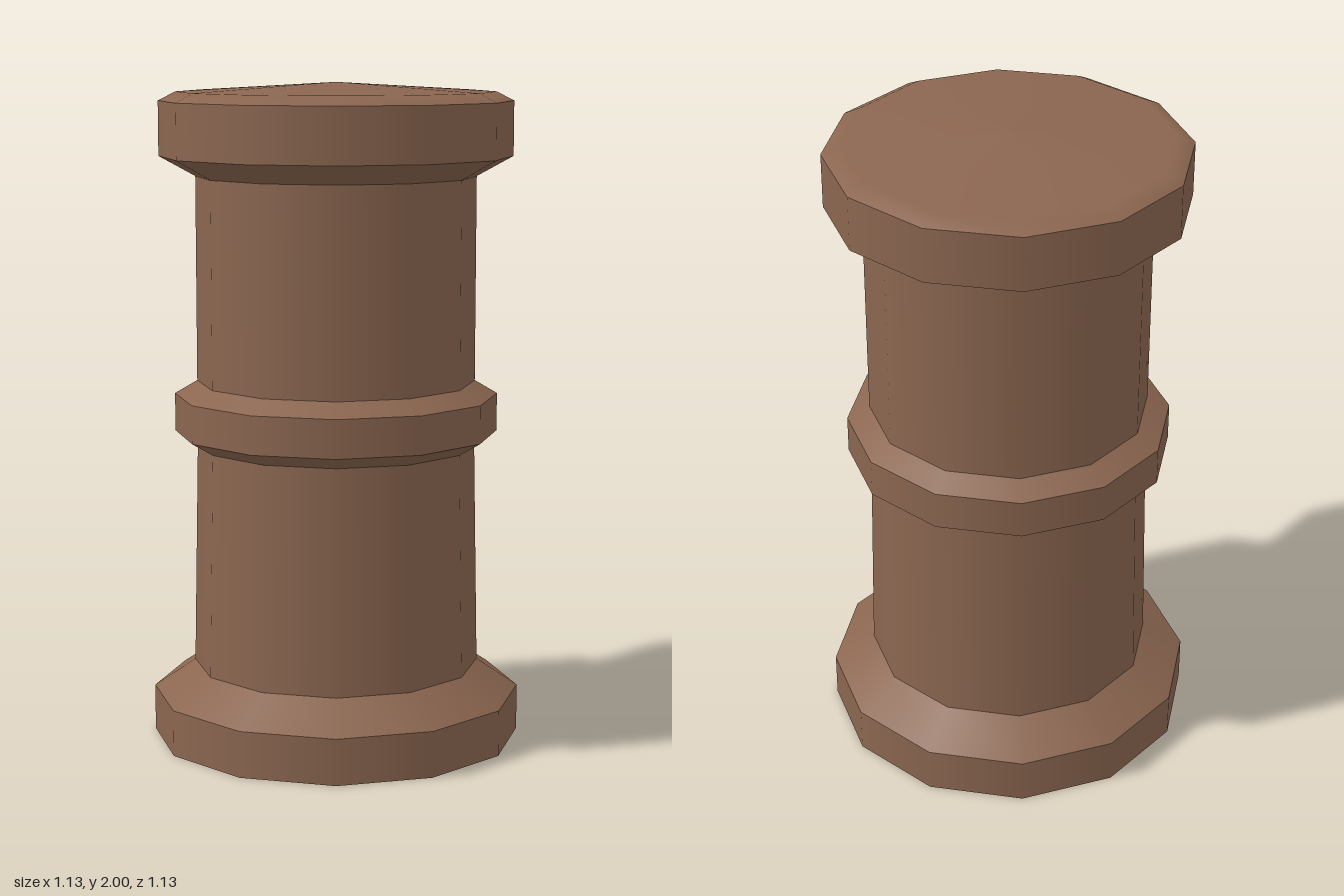
import * as THREE from 'three';

const SIDES = 12;

export function createModel() {
  const group = new THREE.Group();
  group.name = 'pillar';
  const brown = new THREE.MeshStandardMaterial({ color: 0x8b6650, side: THREE.DoubleSide });
  brown.name = 'brown clay';

  // Each band is its own lathe: smooth around, with sharp rims between bands
  const band = (name, ...profile) => {
    const points = profile.map(([r, y]) => new THREE.Vector2(r, y));
    const mesh = new THREE.Mesh(new THREE.LatheGeometry(points, SIDES), brown);
    mesh.name = name;
    group.add(mesh);
  };

  // Base, open underneath
  band('basePlinth', [0.563, 0], [0.563, 0.14]);
  band('baseSlope', [0.563, 0.14], [0.437, 0.225]);

  // Lower shaft, tapering slightly
  band('lowerShaft', [0.437, 0.225], [0.423, 0.905]);

  // Middle collar
  band('collarUnderside', [0.423, 0.905], [0.491, 0.945]);
  band('collarRim', [0.491, 0.945], [0.491, 1.06]);
  band('collarTop', [0.491, 1.06], [0.423, 1.1]);

  // Upper shaft
  band('upperShaft', [0.423, 1.1], [0.423, 1.72]);

  // Cap with a shallow, softly shaded crown
  band('capUnderside', [0.423, 1.72], [0.533, 1.78]);
  band('capRim', [0.533, 1.78], [0.533, 1.945]);
  band('capCrown', [0.533, 1.945], [0.48, 1.972], [0, 2]);

  return group;
}
